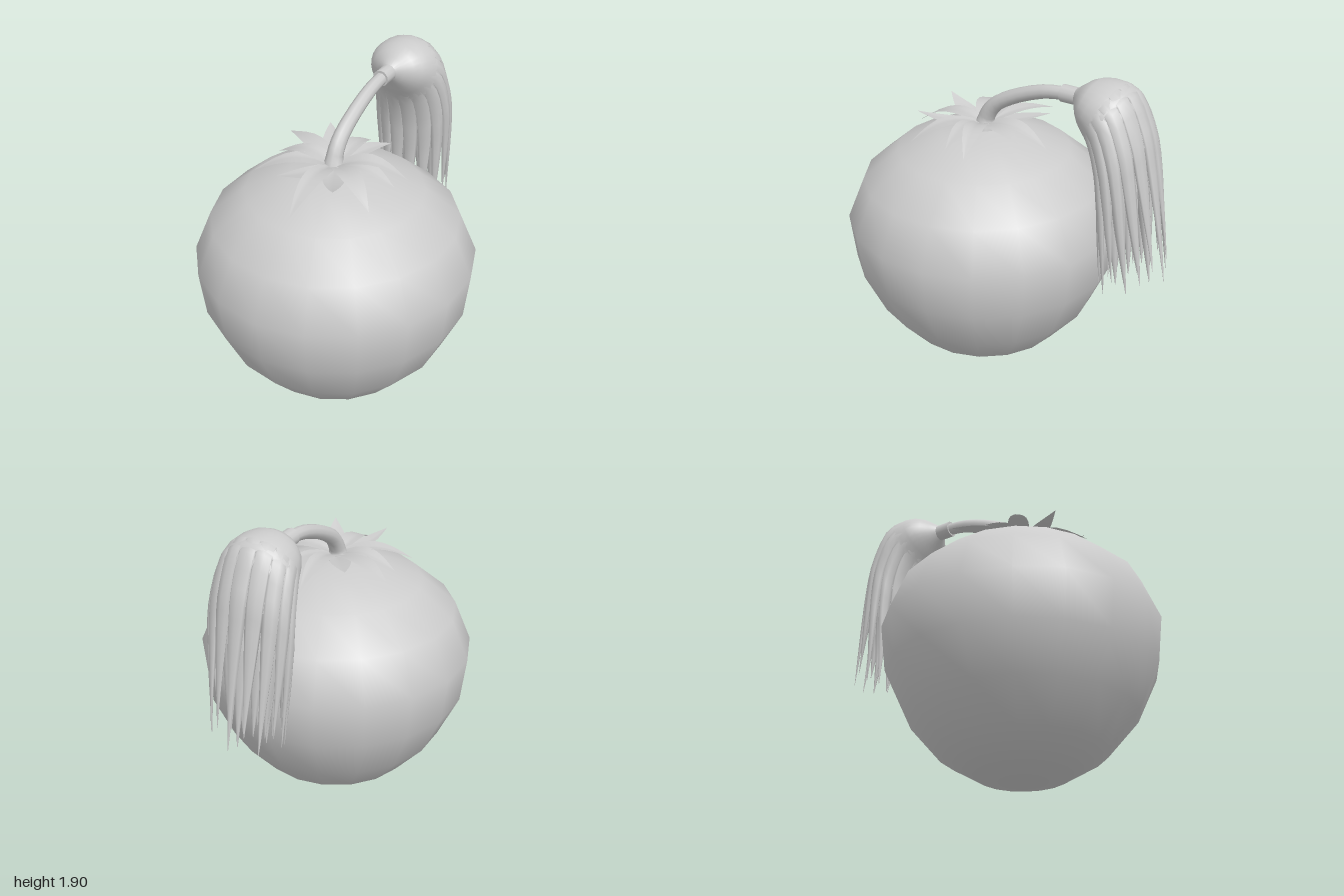
import * as THREE from 'three';
import { ParametricGeometry } from 'three/addons/geometries/ParametricGeometry.js';

const grey = new THREE.MeshStandardMaterial({ color: 0xcccccc, side: THREE.DoubleSide });
const V = (x, y, z) => new THREE.Vector3(x, y, z);
const TAU = Math.PI * 2;
const OFFSET_X = -0.01;

function part(parent, name, geometry) {
  const mesh = new THREE.Mesh(geometry, grey);
  mesh.name = name;
  parent.add(mesh);
  return mesh;
}

// Round fruit: an 18-sided turned profile
function fruit(parent) {
  const profile = [[0, 0], [0.25, 0.05], [0.47, 0.18], [0.65, 0.39], [0.77, 0.65],
    [0.8, 0.92], [0.7, 1.16], [0.5, 1.33], [0.25, 1.43], [0, 1.45]];
  const points = profile.map(([r, y]) => new THREE.Vector2(r, y));
  part(parent, 'fruit', new THREE.LatheGeometry(points, 18)).position.z = 0.2;
}

// Arched stem, flared at its foot, ending in a collar
function stem(parent) {
  const path = new THREE.CatmullRomCurve3([V(0, 1.44, 0.2), V(0, 1.52, 0.185),
    V(0, 1.6, 0.13), V(0, 1.68, 0), V(0, 1.755, -0.2), V(0, 1.775, -0.35)]);
  const side = V(1, 0, 0);
  const geometry = new ParametricGeometry((u, v, target) => {
    const n = path.getTangent(v).cross(side);
    const r = 0.036 + 0.014 * (1 - v) + 0.02 * Math.max(0, 1 - v * 6);
    target.copy(path.getPoint(v))
      .addScaledVector(side, r * Math.cos(u * TAU))
      .addScaledVector(n, r * Math.sin(u * TAU));
  }, 10, 14);
  part(parent, 'stem', geometry).position.x = OFFSET_X;

  const collar = part(parent, 'collar', new THREE.CylinderGeometry(0.048, 0.048, 0.1, 12));
  collar.rotation.x = Math.PI / 2;
  collar.position.set(OFFSET_X, 1.773, -0.36);
}

// Ring of pointed, arching sepals: tip x, tip z, tip y, arch height
function sepals(parent) {
  const group = new THREE.Group();
  group.name = 'sepals';
  parent.add(group);
  const tips = [
    [-0.22, -0.11, 1.53, 0.02], [0.0, -0.22, 1.42, 0.06], [0.16, -0.14, 1.49, 0.04],
    [0.38, 0.07, 1.43, 0.07], [0.37, 0.2, 1.45, 0.06], [0.36, 0.45, 1.43, 0.06],
    [0.19, 0.53, 1.54, 0.0], [0, 0.66, 1.38, 0.06], [-0.15, 0.54, 1.54, 0.0],
    [-0.38, 0.42, 1.44, 0.06], [-0.37, 0.2, 1.45, 0.06], [-0.42, 0.0, 1.47, 0.05],
  ];
  for (const [x, z, y, arch] of tips) {
    const dx = x, dz = z - 0.2, length = Math.hypot(dx, dz);
    const geometry = new ParametricGeometry((u, v, target) => {
      const s = u * 2 - 1;
      const w = 0.055 * (0.9 * Math.sin(Math.PI * v ** 0.85) + 0.35 * (1 - v));
      target.set(
        dx * v - dz / length * w * s,
        1.465 + (y - 1.465) * v * v + arch * Math.sin(Math.PI * v) + 0.012 * Math.abs(s) * (1 - v),
        0.2 + dz * v + dx / length * w * s);
    }, 4, 8);
    part(group, 'sepal', geometry);
  }
}

// Drooping tuft: a swelling cap that splits into tapering strands
function tuft(parent) {
  const group = new THREE.Group();
  group.name = 'tuft';
  group.position.x = OFFSET_X;
  parent.add(group);

  // Half width, then outer z, y and inner z, y of each ring
  const rings = [
    [0.045, -0.40, 1.82, -0.40, 1.73], [0.17, -0.53, 1.90, -0.46, 1.64],
    [0.22, -0.71, 1.88, -0.53, 1.53], [0.235, -0.82, 1.68, -0.58, 1.38],
    [0.235, -0.87, 1.48, -0.60, 1.20], [0.23, -0.91, 1.28, -0.60, 1.03],
    [0.22, -0.95, 1.06, -0.60, 0.86], [0.21, -0.99, 0.82, -0.60, 0.69],
  ];
  const outer = new THREE.CatmullRomCurve3(rings.map((r) => V(r[0], r[2], r[1])));
  const inner = new THREE.CatmullRomCurve3(rings.map((r) => V(r[0], r[4], r[3])));
  const surface = (v, angle, scale, target) => {
    const a = outer.getPoint(v), b = inner.getPoint(v);
    const c = Math.cos(angle) * scale;
    target.set(a.x * Math.sin(angle) * scale,
      (a.y + b.y) / 2 + (a.y - b.y) / 2 * c,
      (a.z + b.z) / 2 + (a.z - b.z) / 2 * c);
  };

  part(group, 'tuftCap', new ParametricGeometry(
    (u, v, target) => surface(v * 0.48, u * TAU, 0.98, target), 28, 10));

  const strands = (name, count, start, radius, depth) => {
    for (let i = 0; i < count; i++) {
      const end = 0.965 + 0.035 * Math.cos(i * 2.4);
      const angle = i / count * TAU;
      part(group, name, new ParametricGeometry((u, v, target) => {
        const taper = 1 - Math.max(0, (v - 0.2) / 0.8) ** 1.5 * 0.97;
        const thick = depth * Math.min(1, 0.15 + v * 2) * taper;
        surface(start + (end - start) * v,
          angle + Math.PI / count * 1.2 * taper * Math.sin(u * TAU),
          radius + thick * Math.cos(u * TAU), target);
      }, 8, 14));
    }
  };
  strands('outerStrand', 15, 0.2, 0.95, 0.13);
  strands('innerStrand', 8, 0.4, 0.5, 0.25);
}

export function createModel() {
  const model = new THREE.Group();
  model.name = 'fruitWithTuft';
  fruit(model);
  stem(model);
  sepals(model);
  tuft(model);
  return model;
}
